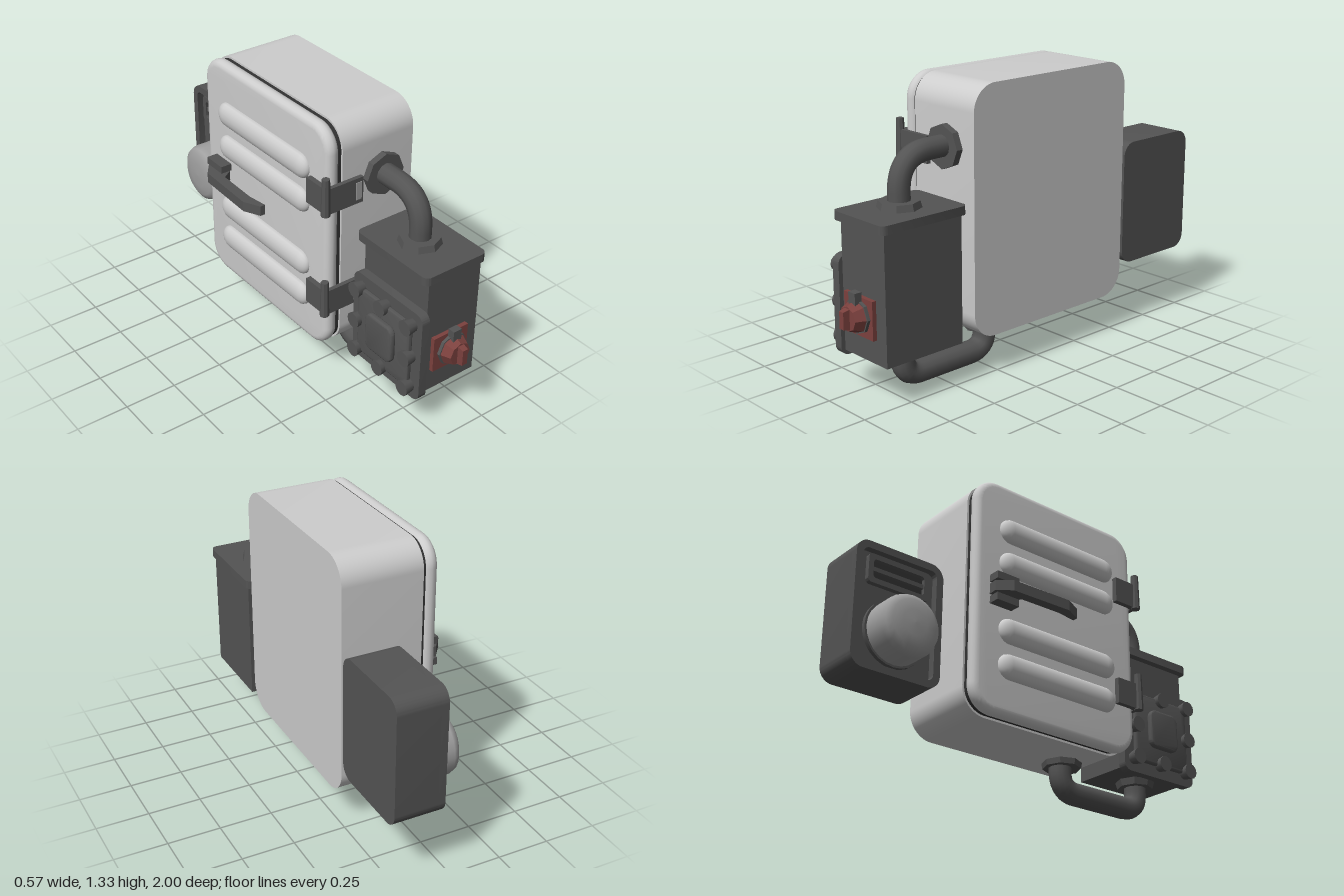
import * as THREE from 'three';
import { toCreasedNormals } from 'three/addons/utils/BufferGeometryUtils.js';

const mat = (name, color) => {
  const m = new THREE.MeshStandardMaterial({ color });
  m.name = name;
  return m;
};

// rounded rectangle outline, centred on the origin
function roundRect(w, h, r, P = THREE.Shape) {
  const s = new P(), x = w / 2, y = h / 2;
  s.moveTo(-x + r, -y);
  s.lineTo(x - r, -y);
  s.absarc(x - r, -y + r, r, -Math.PI / 2, 0);
  s.lineTo(x, y - r);
  s.absarc(x - r, y - r, r, 0, Math.PI / 2);
  s.lineTo(-x + r, y);
  s.absarc(-x + r, y - r, r, Math.PI / 2, Math.PI);
  s.lineTo(-x, -y + r);
  s.absarc(-x + r, -y + r, r, Math.PI, Math.PI * 1.5);
  return s;
}

export function createModel() {
  const root = new THREE.Group();
  root.name = 'electricalCabinet';
  const light = mat('lightGreyPaint', 0xcdcdcd);
  const dark = mat('darkGreyMetal', 0x545454);
  const black = mat('blackSeal', 0x333333);
  const worn = mat('wornGrey', 0xa0a0a0);
  const red = mat('switchRed', 0x7c413e);

  const add = (name, geo, m, parent = root) => {
    const mesh = new THREE.Mesh(geo, m);
    mesh.name = name;
    parent.add(mesh);
    return mesh;
  };
  const group = (name) => {
    const g = new THREE.Group();
    g.name = name;
    root.add(g);
    return g;
  };
  // box given by its limits on each axis
  const box = (name, m, [x0, x1], [y0, y1], [z0, z1], parent) => {
    const g = new THREE.BoxGeometry(x1 - x0, y1 - y0, z1 - z0);
    g.translate((x0 + x1) / 2, (y0 + y1) / 2, (z0 + z1) / 2);
    return add(name, g, m, parent);
  };
  // slab with rounded outline in the side plane, optionally bevelled or holed
  const slab = (name, m, [x0, x1], [y0, y1], [z0, z1], r, parent, { bevel = 0, border = 0 } = {}) => {
    const w = z1 - z0, h = y1 - y0;
    const s = roundRect(w - 2 * bevel, h - 2 * bevel, r - bevel);
    if (border) s.holes.push(roundRect(w - 2 * border, h - 2 * border, Math.max(r - border, 0.015), THREE.Path));
    let g = new THREE.ExtrudeGeometry(s, {
      depth: x1 - x0 - 2 * bevel, curveSegments: 8, bevelEnabled: bevel > 0,
      bevelSize: bevel, bevelThickness: bevel, bevelSegments: 4,
    });
    g.translate(0, 0, bevel);
    g.rotateY(Math.PI / 2);
    g.translate(x0, (y0 + y1) / 2, (z0 + z1) / 2);
    g = toCreasedNormals(g, 0.6);
    return add(name, g, m, parent);
  };
  // cylinder along a chosen axis, centred at p
  const cyl = (name, m, r0, r1, len, sides, axis, p, parent) => {
    let g = new THREE.CylinderGeometry(r0, r1, len, sides);
    if (axis === 'z') g.rotateX(Math.PI / 2);
    if (axis === 'x') g.rotateZ(Math.PI / 2);
    g.translate(...p);
    if (sides <= 8) { g = g.toNonIndexed(); g.computeVertexNormals(); }
    return add(name, g, m, parent);
  };

  // main cabinet, door and the seal between them
  const cab = group('cabinet');
  slab('cabinetBody', light, [-0.105, 0.28], [0.19, 1.33], [-0.53, 0.41], 0.12, cab);
  slab('doorSeal', black, [-0.12, -0.1], [0.2, 1.32], [-0.52, 0.4], 0.11, cab);
  slab('door', light, [-0.18, -0.115], [0.19, 1.33], [-0.53, 0.41], 0.12, cab, { bevel: 0.03 });
  for (const y of [0.42, 0.59, 0.92, 1.09]) {
    const g = new THREE.CapsuleGeometry(0.06, 0.56, 6, 16);
    g.rotateX(Math.PI / 2);
    const rib = add('doorRib', g, light, cab);
    rib.scale.x = 0.6;
    rib.position.set(-0.18, y, -0.06);
  }

  // door handle
  const handle = group('handle');
  const pts = [[-0.17, -0.45], [-0.225, -0.455], [-0.275, -0.39], [-0.285, -0.08], [-0.245, 0],
    [-0.22, 0], [-0.235, -0.1], [-0.23, -0.31], [-0.17, -0.35]];
  const lever = new THREE.ExtrudeGeometry(new THREE.Shape(pts.map((p) => new THREE.Vector2(...p))),
    { depth: 0.05, bevelEnabled: false });
  lever.rotateX(Math.PI / 2);
  lever.translate(0, 0.79, 0);
  add('lever', lever, dark, handle);
  for (const y of [0.695, 0.8])
    box('handleBracket', dark, [-0.235, -0.175], [y, y + 0.035], [-0.45, -0.33], handle);

  // hinges
  for (const y of [0.42, 0.945]) {
    const h = group('hinge');
    box('hingeSideLeaf', dark, [-0.2, -0.005], [y, y + 0.125], [0.41, 0.43], h);
    box('hingeDoorLeaf', dark, [-0.205, -0.175], [y, y + 0.125], [0.29, 0.425], h);
    cyl('hingeBarrel', dark, 0.018, 0.022, 0.18, 8, 'y', [-0.2, y + 0.085, 0.42], h);
    box('hingeWornEdge', worn, [-0.045, -0.015], [y + 0.02, y + 0.105], [0.428, 0.433], h);
  }

  // junction box with lid
  const jb = group('junctionBox');
  box('junctionBody', dark, [-0.02, 0.27], [0.2, 0.8], [0.475, 0.89], jb);
  const lidG = new THREE.ExtrudeGeometry(roundRect(0.34, 0.46, 0.03), { depth: 0.04, bevelEnabled: false });
  lidG.rotateX(Math.PI / 2);
  lidG.translate(0.115, 0.825, 0.68);
  add('junctionLid', toCreasedNormals(lidG, 0.6), dark, jb);
  slab('sidePanel', dark, [-0.062, -0.02], [0.175, 0.63], [0.455, 0.91], 0.04, jb);
  slab('sidePanelRaised', dark, [-0.085, -0.06], [0.23, 0.575], [0.51, 0.855], 0.05, jb, { bevel: 0.01 });
  for (const z of [0.51, 0.68, 0.85])
    for (const y of [0.24, 0.4, 0.565])
      if (z !== 0.68 || y !== 0.4)
        cyl('panelBolt', dark, 0.038, 0.03, 0.05, 12, 'x', [-0.085, y, z], jb);
  slab('panelCover', dark, [-0.11, -0.08], [0.31, 0.5], [0.59, 0.77], 0.04, jb, { bevel: 0.01 });

  // rotary switch
  const sw = group('rotarySwitch');
  box('switchPlate', red, [0.012, 0.205], [0.31, 0.485], [0.885, 0.91], sw);
  cyl('switchCollar', dark, 0.079, 0.079, 0.02, 8, 'z', [0.112, 0.4, 0.915], sw);
  cyl('switchKnob', red, 0.055, 0.075, 0.05, 8, 'z', [0.112, 0.4, 0.945], sw);
  const grip = new THREE.CylinderGeometry(0.055, 0.085, 0.09, 4, 1, false, Math.PI / 4);
  grip.rotateX(Math.PI / 2);
  grip.scale(0.36, 1, 1);
  grip.translate(0.112, 0.4, 0.955);
  const gripFlat = grip.toNonIndexed();
  gripFlat.computeVertexNormals();
  add('switchGrip', gripFlat, red, sw);
  box('switchPointer', dark, [0.09, 0.135], [0.455, 0.51], [0.91, 0.945], sw);

  // conduits with flanges
  const pipe = (name, corners, r, bend) => {
    const v = corners.map((p) => new THREE.Vector3(0.108, p[0], p[1]));
    const path = new THREE.CurvePath();
    let prev = v[0];
    for (let i = 1; i < v.length - 1; i++) {
      const a = v[i].clone().add(v[i - 1].clone().sub(v[i]).setLength(bend));
      const b = v[i].clone().add(v[i + 1].clone().sub(v[i]).setLength(bend));
      path.add(new THREE.LineCurve3(prev, a));
      path.add(new THREE.QuadraticBezierCurve3(a, v[i], b));
      prev = b;
    }
    path.add(new THREE.LineCurve3(prev, v[v.length - 1]));
    add(name, new THREE.TubeGeometry(path, 48, r, 12), dark);
  };
  pipe('upperConduit', [[0.82, 0.68], [1.05, 0.68], [1.05, 0.41]], 0.05, 0.16);
  pipe('lowerConduit', [[0.21, 0.68], [0.055, 0.68], [0.055, 0.2], [0.2, 0.2]], 0.054, 0.09);
  cyl('upperFlange', dark, 0.1, 0.1, 0.035, 8, 'z', [0.108, 1.045, 0.425]);
  cyl('lidFlange', dark, 0.09, 0.1, 0.035, 8, 'y', [0.108, 0.838, 0.68]);
  cyl('boxBottomFlange', dark, 0.095, 0.085, 0.035, 8, 'y', [0.108, 0.185, 0.68]);
  cyl('cabinetBottomFlange', dark, 0.095, 0.09, 0.03, 8, 'y', [0.108, 0.178, 0.21]);

  // meter box behind, with recessed face, slots and round dial
  const meter = group('meterBox');
  const my = [0.325, 0.925], mz = [-1, -0.545];
  slab('meterBody', dark, [0.075, 0.28], my, mz, 0.065, meter);
  slab('meterRim', dark, [0.04, 0.075], my, mz, 0.065, meter, { border: 0.035 });
  slab('slotFrame', dark, [0.05, 0.08], [0.735, 0.875], [-0.93, -0.615], 0.02, meter, { border: 0.025 });
  box('slotPlate', black, [0.069, 0.076], [0.755, 0.855], [-0.91, -0.635], meter);
  box('slotBar', dark, [0.055, 0.075], [0.795, 0.815], [-0.91, -0.635], meter);
  const prof = [[0.145, -0.03], [0.145, 0.1], [0.135, 0.125], [0.11, 0.14], [0.06, 0.148], [0, 0.15]];
  const dial = new THREE.LatheGeometry(prof.map((p) => new THREE.Vector2(...p)), 24);
  dial.rotateZ(Math.PI / 2);
  dial.translate(0.05, 0.53, -0.775);
  add('dial', dial, worn, meter);
  cyl('dialCollar', dark, 0.155, 0.155, 0.02, 24, 'x', [0.065, 0.53, -0.775], meter);
  return root;
}
